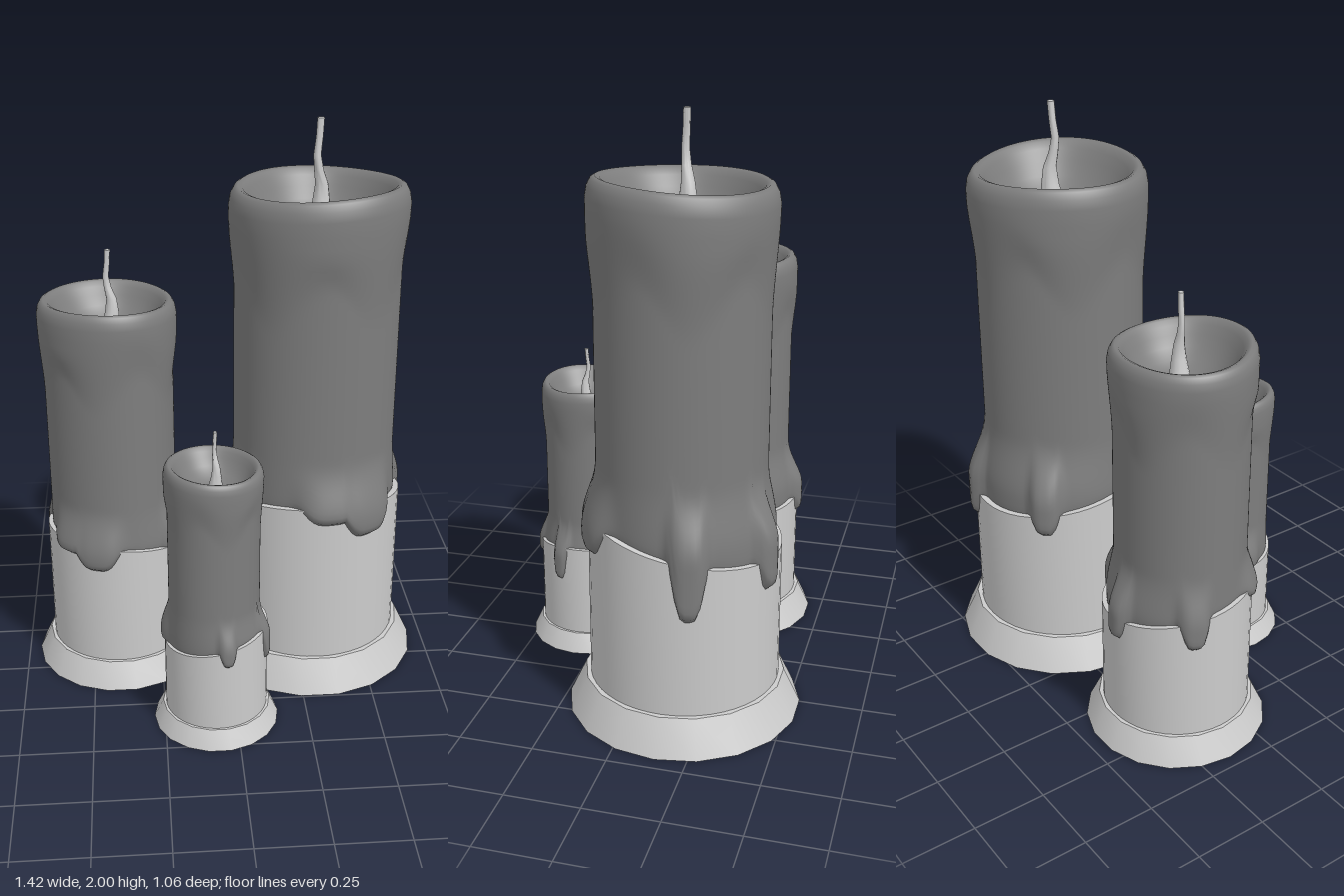
import * as THREE from 'three';
import { toCreasedNormals } from 'three/addons/utils/BufferGeometryUtils.js';

const { smoothstep, lerp, degToRad } = THREE.MathUtils;
const holderMat = new THREE.MeshStandardMaterial({ color: 0xcccccc, side: THREE.DoubleSide });
const waxMat = new THREE.MeshStandardMaterial({ color: 0x7d7d7d, side: THREE.DoubleSide });

// Closed-around surface: point(angle, row) gives [x, y, z]; rows run from the top, over the outside, downwards
function ringSurface(sides, rows, point) {
  const pos = [], index = [];
  for (let j = 0; j < rows; j++)
    for (let i = 0; i < sides; i++) pos.push(...point(i / sides * Math.PI * 2, j));
  for (let j = 0; j < rows - 1; j++)
    for (let i = 0; i < sides; i++) {
      const n = (i + 1) % sides, a = j * sides + i, b = j * sides + n;
      index.push(a, b, a + sides, b, b + sides, a + sides);
    }
  const geo = new THREE.BufferGeometry();
  geo.setAttribute('position', new THREE.Float32BufferAttribute(pos, 3));
  geo.setIndex(index);
  geo.computeVertexNormals();
  return geo;
}

const polar = (r, y, a) => [r * Math.cos(a), y, r * Math.sin(a)];

function addMesh(group, name, geo, mat) {
  const mesh = new THREE.Mesh(geo, mat);
  mesh.name = name;
  group.add(mesh);
}

// One candle at full size; drips are [angle in degrees, lowest height, angular half width]
function makeCandle({ rimDir, drips, turn }) {
  const g = new THREE.Group();
  const rimY = a => 0.66 + 0.06 * Math.cos(a - degToRad(rimDir));

  // Hollow sloping foot
  const foot = [[0.29, 0.12], [0.338, 0.12], [0.395, 0]];
  addMesh(g, 'foot', toCreasedNormals(ringSurface(18, foot.length, (a, j) => polar(...foot[j], a)), 0.6), holderMat);

  // Open cup with a slanted rim
  const cup = [[0.29, 0.12], [0.29, 1], [0.32, 1], [0.32, 0.12]];
  addMesh(g, 'cup', toCreasedNormals(ringSurface(48, cup.length, (a, j) =>
    polar(cup[j][0], cup[j][1] === 1 ? rimY(a) : cup[j][1], a)), 0.6), holderMat);

  // Wax: softly hollowed top, rounded lip, then a column ending in drips over the cup
  const bowl = [[0, 1.61], [0.06, 1.612], [0.1, 1.62], [0.15, 1.648], [0.19, 1.69], [0.218, 1.735],
    [0.238, 1.77], [0.254, 1.791], [0.27, 1.798], [0.284, 1.79], [0.296, 1.768], [0.302, 1.735]];
  const columnRows = 44;
  const dripAt = a => {
    let weight = 0, hem = rimY(a) - 0.015;
    for (const [deg, low, w] of drips) {
      let d = a - degToRad(deg);
      d = Math.atan2(Math.sin(d), Math.cos(d)) / w;
      const k = Math.exp(-(d ** 4));
      weight = Math.max(weight, Math.exp(-((d / 1.25) ** 4)));
      hem = Math.min(hem, lerp(rimY(a) - 0.015, low, k));
    }
    return [weight, hem];
  };
  const wax = ringSurface(128, bowl.length + columnRows, (a, j) => {
    const t = a - degToRad(turn);
    const sag = 0.01 * Math.cos(t - 1.1) - 0.01 + 0.006 * Math.sin(2 * t);
    // The column stands slightly off centre and has soft lobes
    const wave = 0.015 * Math.sin(t) + 0.004 * Math.sin(3 * t) + 0.003 * Math.cos(2 * t + 1);
    if (j < bowl.length) {
      const [r, y] = bowl[j];
      const k = smoothstep(r, 0.1, 0.28);
      return polar(r + wave * k, y + sag * k, a);
    }
    const [weight, hem] = dripAt(a);
    const s = (j - bowl.length + 1) / columnRows;
    const y = lerp(1.735 + sag, hem, Math.pow(s, 0.8));
    // Swollen top, straight middle, flared hem
    const top = smoothstep(y, 1.42 + 0.08 * Math.sin(5 * t), 1.68 + 0.05 * Math.sin(3 * t));
    let r = 0.283 + 0.019 * top + wave;
    const spread = 1 - smoothstep(y, 0.66, 0.88);
    r = lerp(r, lerp(0.3, 0.344, weight), spread);
    // Round the tip of each drip back to the cup
    const tip = Math.min(1, (y - hem) / 0.05);
    const inner = lerp(0.296, 0.314, weight);
    r = inner + (r - inner) * Math.sqrt(Math.max(0, 1 - (1 - tip) ** 2));
    return polar(r, y, a);
  });
  addMesh(g, 'wax', wax, waxMat);

  // Bent wick, wide at the foot
  const wick = [[0, 2, 0], [0.012, 2, 0], [0.012, 1.94, -0.004], [0.013, 1.88, -0.012], [0.016, 1.83, -0.004],
    [0.022, 1.78, 0.011], [0.03, 1.72, 0.011], [0.04, 1.66, 0.004], [0.05, 1.605, 0]];
  addMesh(g, 'wick', toCreasedNormals(ringSurface(12, wick.length, (a, j) => {
    const [r, y, bend] = wick[j];
    const [x, , z] = polar(r, y, a), b = degToRad(turn - 35);
    return [x + bend * Math.cos(b), y, z + bend * Math.sin(b)];
  }), 1), holderMat);
  return g;
}

const candles = [
  { name: 'tallCandle', x: 0.31, z: -0.145, size: 1, turn: 0, rimDir: 90,
    drips: [[-16, 0.45, 0.16], [-70, 0.5, 0.13], [-137, 0.54, 0.14], [150, 0.55, 0.17],
      [59, 0.59, 0.3], [84, 0.655, 0.3]] },
  { name: 'middleCandle', x: -0.4, z: -0.145, size: 0.785, turn: 48, rimDir: 138,
    drips: [[34, 0.46, 0.16], [-25, 0.5, 0.13], [-92, 0.53, 0.14], [203, 0.55, 0.17],
      [107, 0.59, 0.3], [132, 0.655, 0.3]] },
  { name: 'shortCandle', x: -0.07, z: 0.315, size: 0.55, turn: 96, rimDir: 0,
    drips: [[20, 0.49, 0.15], [80, 0.56, 0.14], [-45, 0.58, 0.14], [240, 0.55, 0.16], [190, 0.59, 0.3]] },
];

export function createModel() {
  const model = new THREE.Group();
  model.name = 'candles';
  for (const c of candles) {
    const candle = makeCandle(c);
    candle.name = c.name;
    candle.position.set(c.x, 0, c.z);
    candle.scale.setScalar(c.size);
    model.add(candle);
  }
  return model;
}
